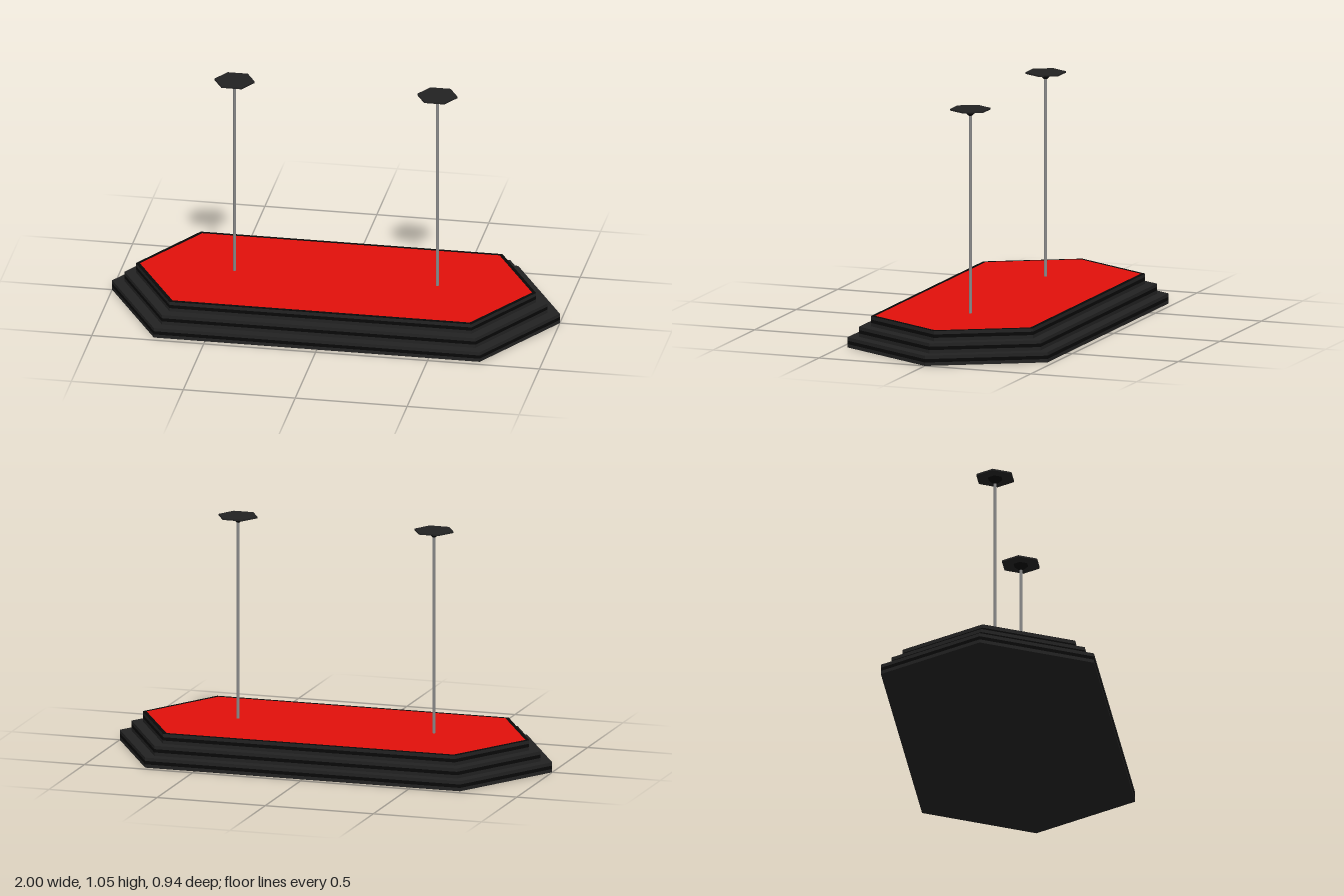
import * as THREE from 'three';

const mat = (color) => new THREE.MeshStandardMaterial({ color, flatShading: true });

// Elongated hexagon with its points on the x axis
const hexPoints = (tip, shoulder, depth) => [
  [tip, 0], [shoulder, depth], [-shoulder, depth],
  [-tip, 0], [-shoulder, -depth], [shoulder, -depth],
].map(([x, y]) => new THREE.Vector2(x, y));

export function createModel() {
  const model = new THREE.Group();
  const dark = mat(0x222222), black = mat(0x080808), red = mat(0xe0100a), metal = mat(0x888888);

  const add = (parent, name, geometry, material, x = 0, y = 0) => {
    const mesh = new THREE.Mesh(geometry, material);
    mesh.name = name;
    mesh.position.set(x, y, 0);
    parent.add(mesh);
  };
  const slab = (shape, height) =>
    new THREE.ExtrudeGeometry(shape, { depth: height, bevelEnabled: false }).rotateX(-Math.PI / 2);

  // Three stepped tiers, each with a black band around its middle
  const tierHeight = 0.0455;
  const tiers = [[1, 0.728, 0.472], [0.945, 0.7, 0.428], [0.893, 0.674, 0.382]];
  tiers.forEach((size, i) => {
    const tier = new THREE.Group();
    tier.name = `tier${i + 1}`;
    tier.position.y = i * tierHeight;
    const layer = tierHeight / 3;
    ['lowerLayer', 'band', 'upperLayer'].forEach((name, j) =>
      add(tier, name, slab(new THREE.Shape(hexPoints(...size)), layer), j === 1 ? black : dark, 0, j * layer));
    model.add(tier);
  });

  // Black rim framing the red deck
  const top = tiers.length * tierHeight;
  const deckPoints = hexPoints(0.876, 0.664, 0.366);
  const rim = new THREE.Shape(hexPoints(...tiers[2]));
  rim.holes.push(new THREE.Path(deckPoints));
  add(model, 'deckRim', slab(rim, 0.001), black, 0, top);
  add(model, 'deck', slab(new THREE.Shape(deckPoints), 0.001), red, 0, top);

  // Two poles, each topped by a tapered collar and a hexagonal plate
  for (const side of [-1, 1]) {
    const pole = new THREE.Group();
    pole.name = side > 0 ? 'leftPole' : 'rightPole';
    pole.position.x = side * 0.453;
    const rodHeight = 1.03 - top;
    add(pole, 'rod', new THREE.CylinderGeometry(0.007, 0.007, rodHeight, 8), metal, 0, top + rodHeight / 2);
    add(pole, 'collar', new THREE.CylinderGeometry(0.036, 0.008, 0.026, 6).rotateY(Math.PI / 6), black, 0, 1.035);
    add(pole, 'plate', new THREE.CylinderGeometry(0.09, 0.09, 0.007, 6).rotateY(Math.PI / 6), dark, 0, 1.0505);
    model.add(pole);
  }
  return model;
}
